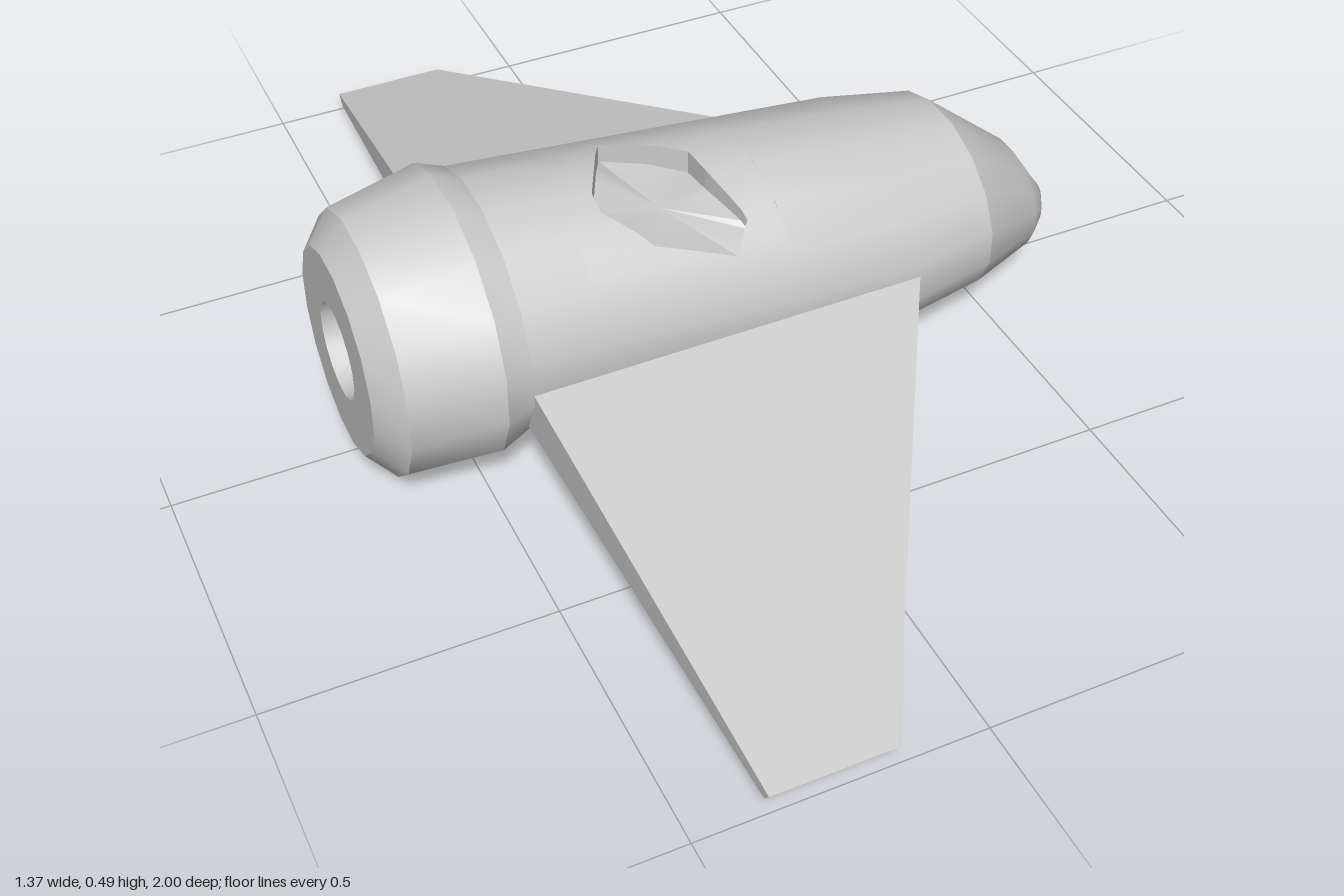
import * as THREE from 'three';
import { toCreasedNormals } from 'three/addons/utils/BufferGeometryUtils.js';

const SIDES = 16, STEP = (Math.PI * 2) / SIDES, HALF = STEP / 2;
const material = new THREE.MeshStandardMaterial({ color: 0xcccccc });

// Hull stations: x, bottom, top, half width
const ENGINE = [
  [-0.53, 0.23, 0.23, 0], [-0.53, 0.145, 0.315, 0.085], [-0.685, 0.145, 0.315, 0.085],
  [-0.685, 0.05, 0.41, 0.18], [-0.64, 0.003, 0.46, 0.235], [-0.48, 0.003, 0.495, 0.26],
  [-0.43, 0.03, 0.475, 0.245],
];
const BODY = [[-0.43, 0.03, 0.475, 0.245], [0.29, 0.032, 0.4, 0.243], [0.46, 0.04, 0.377, 0.202]];
const NOSE = [
  [0.46, 0.04, 0.377, 0.202], [0.61, 0.053, 0.256, 0.115], [0.66, 0.075, 0.18, 0.06],
  [0.683, 0.105, 0.148, 0.022], [0.685, 0.126, 0.126, 0],
];

// Corner of a station's polygon; the angle runs from the top towards +z
function corner([x, bottom, top, half], a) {
  const k = 1 / Math.cos(HALF);
  return new THREE.Vector3(x, (top + bottom) / 2 + ((top - bottom) / 2) * k * Math.cos(a), half * k * Math.sin(a));
}

// Any point on the faceted body at x and angle a
function bodyPoint(x, a) {
  const i = x < BODY[1][0] ? 0 : 1;
  const t = (x - BODY[i][0]) / (BODY[i + 1][0] - BODY[i][0]);
  const s = BODY[i].map((v, n) => THREE.MathUtils.lerp(v, BODY[i + 1][n], t));
  const f = (a - HALF) / STEP + 1e-9, n = Math.floor(f);
  return corner(s, HALF + n * STEP).lerp(corner(s, HALF + (n + 1) * STEP), f - n);
}

// Skin a list of point rows of equal length
function skin(rows, normals) {
  const cols = rows[0].length, index = [];
  for (let i = 0; i < rows.length - 1; i++) {
    for (let j = 0; j < cols - 1; j++) {
      const a = i * cols + j, b = a + cols;
      index.push(a, a + 1, b + 1, a, b + 1, b);
    }
  }
  const g = new THREE.BufferGeometry().setFromPoints(rows.flat());
  g.setIndex(index);
  if (normals) {
    g.setAttribute('normal', new THREE.Float32BufferAttribute(normals.flat().flatMap((n) => n.toArray()), 3));
  } else g.computeVertexNormals();
  return g;
}

const ring = (from, to) => Array.from({ length: to - from + 1 }, (_, k) => HALF + (from + k) * STEP);
const loft = (stations) => skin(stations.map((s) => ring(0, SIDES).map((a) => corner(s, a))));

// Smooth skin through [x, angle] pairs on the body
function bodySkin(rows) {
  return skin(
    rows.map((r) => r.map(([x, a]) => bodyPoint(x, a))),
    rows.map((r) => r.map(([x, a]) => new THREE.Vector3(x < 0.29 ? 0.08 : 0.17, Math.cos(a), Math.sin(a)).normalize())),
  );
}

function add(group, name, geometry) {
  const mesh = new THREE.Mesh(geometry, material);
  mesh.name = name;
  group.add(mesh);
}

// Wing: a box whose corners move to the root and tip
function wing(side) {
  const g = new THREE.BoxGeometry(2, 2, 2), p = g.attributes.position;
  for (let i = 0; i < p.count; i++) {
    const front = p.getX(i) > 0, upper = p.getY(i) > 0, tip = p.getZ(i) * side > 0;
    if (tip) p.setXYZ(i, front ? -0.16 : -0.375, upper ? 0.04 : 0.02, side * (upper ? 1 : 0.985));
    else p.setXYZ(i, front ? 0.317 : -0.433, upper ? 0.241 : 0.142, side * 0.2);
  }
  g.computeVertexNormals();
  return g;
}

export function createModel() {
  const model = new THREE.Group();
  model.name = 'spacePlane';

  // Engine cowl with a recessed exhaust, and the nose
  add(model, 'engineCowl', toCreasedNormals(loft(ENGINE), 0.42));
  add(model, 'nose', toCreasedNormals(loft(NOSE), 0.9));

  // Body tube, left open on top around the cockpit
  const x0 = -0.3, x1 = 0.06, aMin = HALF - 2 * STEP, aMax = HALF + 3 * STEP;
  const rows = (xs, angles) => xs.map((x) => angles.map((a) => [x, a]));
  add(model, 'rearBody', bodySkin(rows([-0.43, x0], ring(0, SIDES))));
  add(model, 'lowerBody', bodySkin(rows([x0, x1], ring(3, SIDES - 2))));
  add(model, 'frontBody', bodySkin(rows([x1, 0.29, 0.46], ring(0, SIDES))));

  // Cockpit rim corners: x, z, depth of the floor below the rim
  const corners = [
    [-0.165, -0.1, 0.035], [-0.035, -0.01, 0.045], [-0.03, 0.05, 0.04], [0, 0.155, 0.02],
    [-0.038, 0.2, 0], [-0.175, 0.165, 0], [-0.24, 0.095, 0.03], [-0.24, 0.055, 0.045],
  ];
  const rim = [], depth = [];
  corners.forEach((c, i) => {
    const d = corners[(i + 1) % corners.length];
    for (let k = 0; k < 6; k++) {
      const [x, z, h] = c.map((v, n) => THREE.MathUtils.lerp(v, d[n], k / 6));
      rim.push([x, Math.asin(z / 0.249)]);
      depth.push(h);
    }
  });

  // Cast the rim outwards to the edge of the opening, keeping its corners
  const mid = [-0.12, 0.25];
  const outer = rim.map(([x, a]) => {
    const dx = x - mid[0], da = a - mid[1];
    const t = Math.min((dx > 0 ? x1 - mid[0] : x0 - mid[0]) / (dx || 1e-6),
      (da > 0 ? aMax - mid[1] : aMin - mid[1]) / (da || 1e-6));
    return [mid[0] + dx * t, mid[1] + da * t];
  });
  for (const c of [[x0, aMin], [x1, aMin], [x1, aMax], [x0, aMax]]) {
    const far = outer.map((o) => Math.hypot((o[0] - c[0]) * 3, o[1] - c[1]));
    outer[far.indexOf(Math.min(...far))] = c;
  }
  [rim, depth, outer].forEach((list) => list.push(list[0]));
  const patch = Array.from({ length: 9 }, (_, k) =>
    rim.map((p, j) => p.map((v, n) => THREE.MathUtils.lerp(v, outer[j][n], k / 8))));
  add(model, 'cockpitSurround', bodySkin(patch));

  // Cockpit floor and walls
  const top = rim.map(([x, a]) => bodyPoint(x, a));
  const floor = top.map((p, j) => new THREE.Vector3(p.x, p.y - depth[j], p.z));
  const centre = top.map(() => new THREE.Vector3(-0.12, 0.388, 0.06));
  add(model, 'cockpitWell', toCreasedNormals(skin([centre, floor, top]), 0.4));

  add(model, 'leftWing', wing(-1));
  add(model, 'rightWing', wing(1));
  return model;
}
